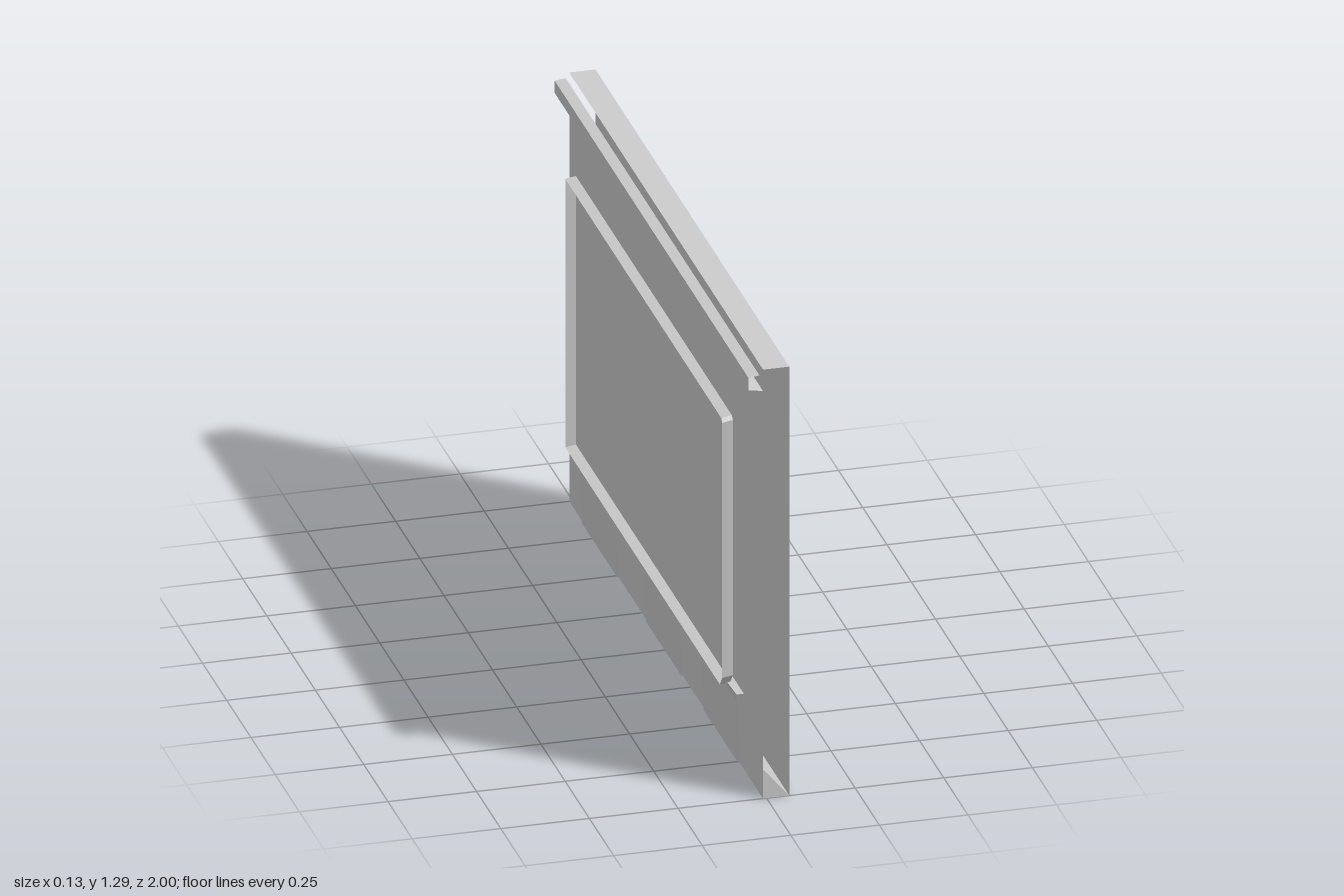
import * as THREE from 'three';

const grey = new THREE.MeshStandardMaterial({ color: 0xcccccc, side: THREE.DoubleSide, flatShading: true });

// Skin between two matching polylines of [x, y, z] points
function loft(name, a, b) {
  const p = [];
  for (let i = 0; i < a.length - 1; i++) {
    p.push(...a[i], ...b[i], ...b[i + 1], ...a[i], ...b[i + 1], ...a[i + 1]);
  }
  return surface(name, p);
}

function surface(name, positions) {
  const g = new THREE.BufferGeometry();
  g.setAttribute('position', new THREE.Float32BufferAttribute(positions, 3));
  g.computeVertexNormals();
  const mesh = new THREE.Mesh(g, grey);
  mesh.name = name;
  return mesh;
}

// Folded sheet: an x-y profile swept along z
const sheet = (name, profile, z0 = -1, z1 = 1) =>
  loft(name, profile.map(([x, y]) => [x, y, z0]), profile.map(([x, y]) => [x, y, z1]));

export function createModel() {
  const group = new THREE.Group();

  // Hollow body, open at both ends
  group.add(sheet('outerPlate', [[-0.01, 0], [0.064, 0], [0.064, 1.286], [-0.01, 1.286]]));
  group.add(sheet('innerWall', [[-0.01, 0], [-0.01, 1.222]]));
  group.add(sheet('topRail', [[-0.01, 1.222], [-0.051, 1.229], [-0.051, 1.266], [-0.02, 1.27]]));
  group.add(surface('endGusset', [-0.01, 0, 1, 0.064, 0, 1, -0.01, 0.087, 1]));

  // Shallow tray on the inner wall: back panel and raised rim
  const outline = [
    [0.24, -0.84], [0.24, 0.755], [0.27, 0.78], [1.035, 0.78], [1.045, 0.77], [1.045, -0.84],
  ];
  const loop = [...outline, outline[0]];
  const outer = loop.map(([y, z]) => [-0.065, y, z]);
  const inner = loop.map(([y, z]) => [-0.035, y + 0.005, z]);
  group.add(loft('trayRim', outer, inner));
  const centre = inner.map(() => [-0.035, 0.65, 0]);
  group.add(loft('trayPanel', inner, centre));

  // Three pockets under the tray, each with a lip that tapers to one side
  for (const [z0, z1] of [[-0.83, -0.46], [-0.17, 0.2], [0.42, 0.79]]) {
    const pocket = new THREE.Group();
    pocket.name = 'pocket';
    pocket.add(loft('pocketFront',
      [[-0.02, 0.01, z0], [-0.024, 0.175, z0]],
      [[-0.02, 0.01, z1], [-0.025, 0.2, z1]]));
    pocket.add(loft('pocketLip',
      [[-0.024, 0.175, z0], [-0.045, 0.225, z0 - 0.02], [-0.012, 0.23, z0 - 0.02]],
      [[-0.025, 0.2, z1], [-0.033, 0.23, z1 + 0.02], [-0.012, 0.23, z1 + 0.02]]));
    pocket.add(surface('lipEnd', [
      -0.024, 0.175, z0, -0.045, 0.225, z0 - 0.02, -0.012, 0.175, z0,
      -0.012, 0.175, z0, -0.045, 0.225, z0 - 0.02, -0.012, 0.23, z0 - 0.02,
    ]));
    group.add(pocket);
  }
  return group;
}
